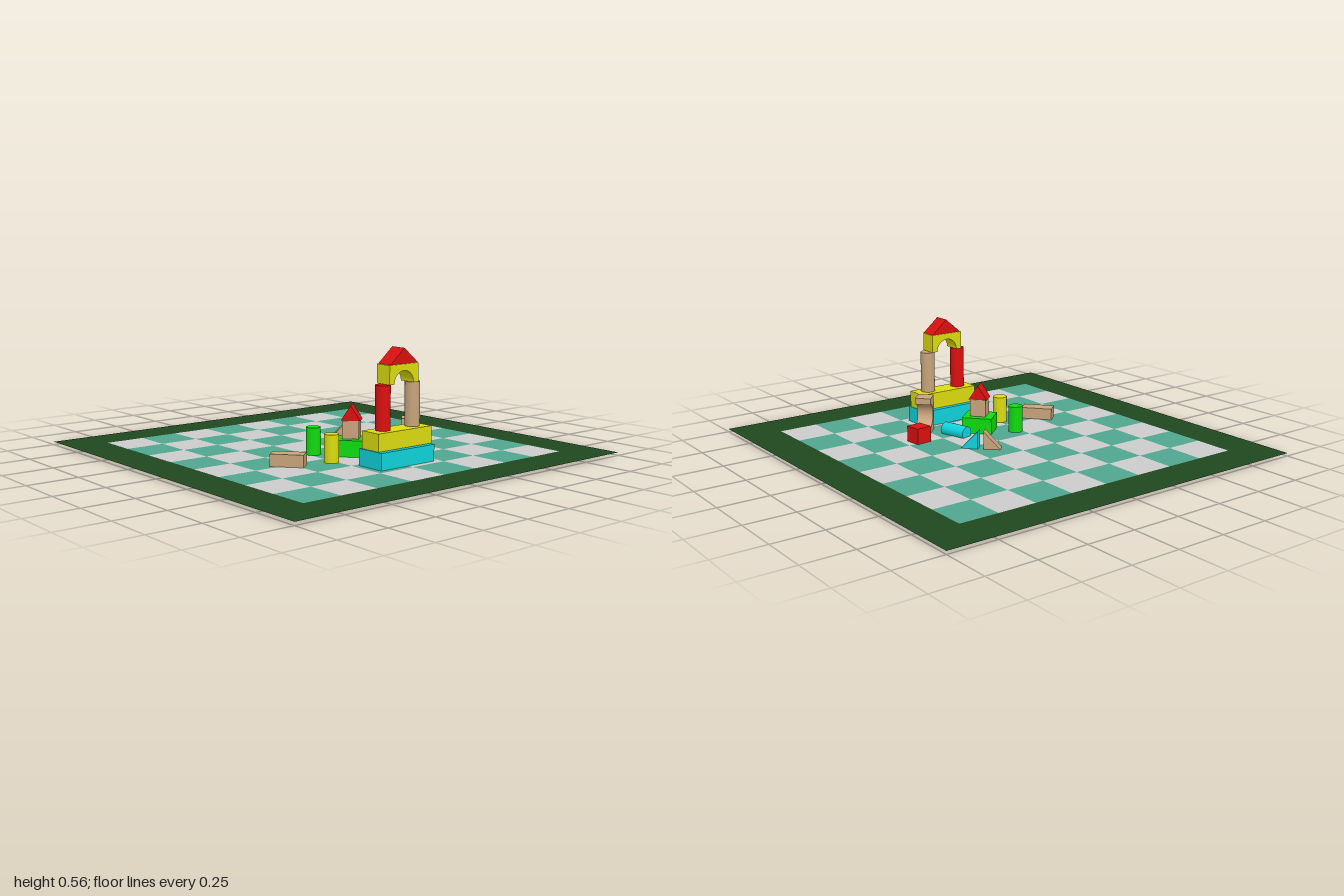
import * as THREE from 'three';

const paint = (color, side = THREE.FrontSide) => new THREE.MeshStandardMaterial({ color, side });
const red = paint(0xdc1010), yellow = paint(0xdcdc10), cyan = paint(0x10d4dc);
const green = paint(0x10dc10), wood = paint(0xc8a47c);
const FLOOR = 0.012, MAT = 0.015;

// every block geometry rests on y = 0, centred on x and z
const box = (w, h, d) => new THREE.BoxGeometry(w, h, d).translate(0, h / 2, 0);
const pillar = (r, h) => new THREE.CylinderGeometry(r, r, h, 32).translate(0, h / 2, 0);

function extrude(shape, depth) {
  return new THREE.ExtrudeGeometry(shape, { depth, bevelEnabled: false, curveSegments: 24 })
    .translate(0, 0, -depth / 2);
}

const polygon = (points) => new THREE.Shape(points.map(([x, y]) => new THREE.Vector2(x, y)));
const roof = (w, h, d) => extrude(polygon([[-w / 2, 0], [w / 2, 0], [0, h]]), d);
const ramp = (w, h, d) => extrude(polygon([[-w / 2, 0], [w / 2, 0], [-w / 2, h]]), d);

// bridge block with a half-round opening underneath
function arch(w, h, d, r) {
  const s = new THREE.Shape();
  s.moveTo(w / 2, 0);
  s.lineTo(w / 2, h);
  s.lineTo(-w / 2, h);
  s.lineTo(-w / 2, 0);
  s.lineTo(-r, 0);
  s.absarc(0, 0, r, Math.PI, 0, true);
  s.closePath();
  return extrude(s, d);
}

export function createModel() {
  const model = new THREE.Group();

  const add = (parent, name, geometry, material, x, y, z, degrees = 0) => {
    const mesh = new THREE.Mesh(geometry, material);
    mesh.name = name;
    mesh.position.set(x, y, z);
    mesh.rotation.y = THREE.MathUtils.degToRad(degrees);
    parent.add(mesh);
    return mesh;
  };

  // flat play mat: border and 8 x 8 checkerboard
  const mat = new THREE.Group();
  mat.name = 'playMat';
  model.add(mat);
  const square = (s) => [[-s, -s], [s, -s], [s, s], [-s, s]];
  const border = polygon(square(1));
  border.holes.push(polygon(square(0.8)));
  add(mat, 'matBorder', new THREE.ShapeGeometry(border).rotateX(-Math.PI / 2),
    paint(0x204820, THREE.DoubleSide), 0, MAT, 0);
  const tile = new THREE.PlaneGeometry(0.2, 0.2).rotateX(-Math.PI / 2);
  const tileColors = [paint(0x50a68f, THREE.DoubleSide), paint(0xc8c8c8, THREE.DoubleSide)];
  for (let i = 0; i < 8; i++) {
    for (let j = 0; j < 8; j++) {
      add(mat, 'matTile', tile, tileColors[(i + j) % 2], -0.7 + i * 0.2, MAT, -0.7 + j * 0.2);
    }
  }

  // tall gate tower
  const tower = new THREE.Group();
  tower.name = 'gateTower';
  tower.position.set(0.493, 0, 0);
  model.add(tower);
  add(tower, 'towerBase', box(0.152, 0.084, 0.335), cyan, 0, FLOOR, 0);
  add(tower, 'towerStep', box(0.112, 0.084, 0.335), yellow, 0, 0.098, 0);
  add(tower, 'frontPillar', pillar(0.036, 0.21), red, 0, 0.184, 0.092);
  add(tower, 'backPillar', pillar(0.036, 0.21), wood, 0, 0.184, -0.094);
  add(tower, 'towerArch', arch(0.18, 0.09, 0.086, 0.06), yellow, 0, 0.396, 0, 90);
  add(tower, 'towerRoof', roof(0.172, 0.073, 0.083), red, 0, 0.487, -0.002, 90);

  // small house
  const house = new THREE.Group();
  house.name = 'smallHouse';
  house.position.set(0.206, 0, 0.032);
  house.rotation.y = THREE.MathUtils.degToRad(41);
  model.add(house);
  add(house, 'houseBase', box(0.154, 0.084, 0.138), green, 0, FLOOR, 0);
  add(house, 'houseWall', box(0.08, 0.088, 0.078), wood, 0, 0.098, 0);
  add(house, 'houseRoof', roof(0.095, 0.073, 0.08), red, 0, 0.187, 0);

  // loose blocks on the mat
  add(model, 'greenPillar', pillar(0.036, 0.14), green, 0.084, 0.01, 0.171);
  add(model, 'yellowPillar', pillar(0.036, 0.14), yellow, 0.277, 0.01, 0.217);
  add(model, 'woodBrick', box(0.16, 0.062, 0.075), wood, 0.209, FLOOR, 0.42, 40);
  add(model, 'redCube', box(0.083, 0.083, 0.083), red, 0.23, FLOOR, -0.324, 7);
  add(model, 'cyanRamp', ramp(0.087, 0.093, 0.054), cyan, 0, FLOOR, -0.174, 40);
  add(model, 'woodRamp', ramp(0.087, 0.093, 0.054), wood, -0.078, FLOOR, -0.093, 227);

  // arch standing on its end
  const standing = arch(0.18, 0.086, 0.08, 0.058).rotateZ(Math.PI / 2).translate(0.043, 0.09, 0);
  add(model, 'standingArch', standing, wood, 0.372, 0.015, -0.196, 136);

  // pillar lying on its side
  const lying = new THREE.CylinderGeometry(0.035, 0.035, 0.142, 32).rotateZ(Math.PI / 2);
  add(model, 'lyingPillar', lying, cyan, 0.211, 0.035, -0.112, 15);

  return model;
}
